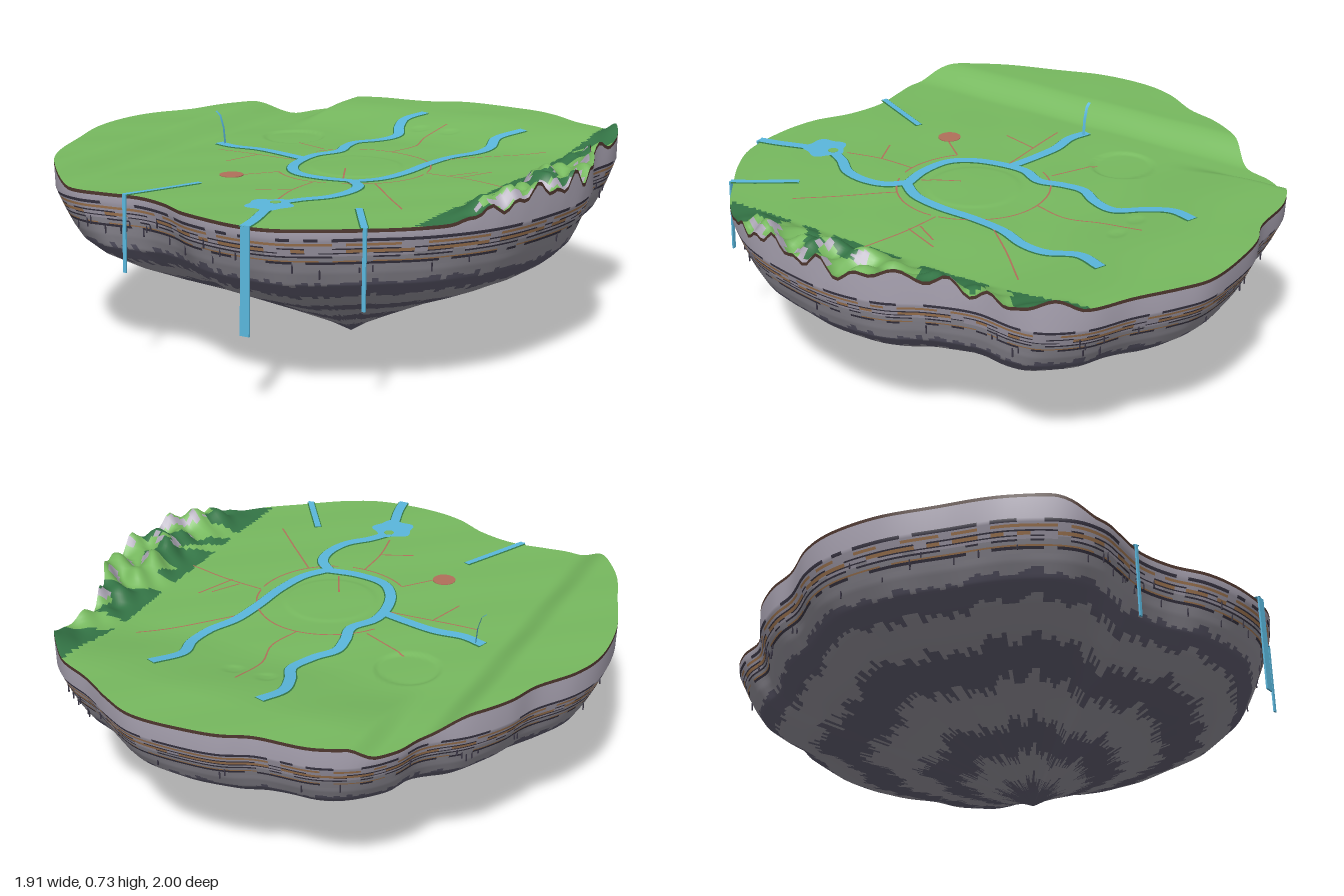
import * as THREE from 'three';

const material = (name, color, side = THREE.FrontSide) =>
  Object.assign(new THREE.MeshStandardMaterial({ color, side }), { name });
const grass = material('grass', 0x77b95f);
const forest = material('forest', 0x347546);
const rock = material('pale rock', 0xaba5b4);
const hullLight = material('underside rock', 0x98959f);
const hullDark = material('dark underside rock', 0x636073);
const strataDark = material('dark strata', 0x3b3746);
const soil = material('soil', 0x4f372f);
const strataOrange = material('ochre strata', 0xad8058);
const water = material('water', 0x5ab7dd, THREE.DoubleSide);
const road = material('road', 0xb0705a);

const SEG = 280;
const CX = 0.09, CZ = 0.09; // the point above the lowest tip
const { lerp, smoothstep } = THREE.MathUtils;

let seed = 7;
const random = () => (seed = (seed * 16807) % 2147483647) / 2147483647;

// Coastline, x and z, clockwise seen from above
const coast = [
  0.08, -1, 0.3, -0.99, 0.41, -0.94, 0.55, -0.85, 0.69, -0.78, 0.79, -0.67, 0.81, -0.58, 0.8, -0.42,
  0.85, -0.26, 0.92, -0.13, 0.95, 0.03, 0.93, 0.24, 0.86, 0.48, 0.72, 0.68, 0.56, 0.81, 0.43, 0.9,
  0.3, 0.96, 0.14, 0.97, -0.05, 0.93, -0.18, 0.86, -0.31, 0.825, -0.45, 0.835, -0.55, 0.84, -0.66, 0.8,
  -0.79, 0.64, -0.87, 0.43, -0.94, 0.21, -0.955, 0, -0.92, -0.13, -0.83, -0.28, -0.79, -0.4, -0.71, -0.53,
  -0.59, -0.65, -0.55, -0.76, -0.47, -0.86, -0.34, -0.925, -0.13, -0.945, -0.03, -0.985];
const coastPoints = [];
for (let i = 0; i < coast.length; i += 2) coastPoints.push(new THREE.Vector3(coast[i], 0, coast[i + 1]));
const rim = new THREE.CatmullRomCurve3(coastPoints, true).getSpacedPoints(SEG);

// Ground height: west plateau, northern rise, eastern crags and shallow hollows
const ridge = (x, z) => 0.6 * Math.sin(z * 22 + 2.4 * Math.sin(x * 19 + z * 6)) + 0.4 * Math.sin(z * 52 - x * 30);
const round = (x, z, r, edge) => 1 - smoothstep(Math.hypot(x, z), r - edge, r);
function height(x, z) {
  let h = 0.606 + 0.002 * Math.sin(x * 13 + z * 5) * Math.sin(z * 11);
  h += 0.057 * (1 - smoothstep(x, -0.72, -0.58));
  h += 0.042 * smoothstep(-z, 0.35, 0.8) * smoothstep(x, -0.51, -0.43);
  const crag = smoothstep(x, 0.67, 0.84) * (1 - smoothstep(z, 0.48, 0.66)) * (1 - smoothstep(-z, 0.74, 0.84));
  h += crag * (0.056 + 0.036 * ridge(x, z)) * (1 - 0.55 * smoothstep(-z, 0.3, 0.6));
  h += 0.028 * round(x - 0.77, z + 0.7, 0.1, 0.1);
  h -= 0.007 * round(x + 0.36, z + 0.26, 0.118, 0.015);
  h += 0.003 * round(x - 0.1, z - 0.08, 0.175, 0.02);
  h -= 0.004 * (round(x - 0.03, z + 0.55, 0.036, 0.015) + round(x - 0.155, z + 0.55, 0.036, 0.015));
  return h;
}

// Surface through rows and columns; each cell picks its own material
function grid(name, rows, cols, wrap, point, pick) {
  const pos = [], cells = new Map(), n = wrap ? cols : cols + 1;
  for (let i = 0; i <= rows; i++) for (let j = 0; j < n; j++) pos.push(...point(i, j));
  for (let i = 0; i < rows; i++) for (let j = 0; j < cols; j++) {
    const k = (j + 1) % n, m = pick(i, j);
    const a = i * n + j, b = a + n, c = (i + 1) * n + k, d = i * n + k;
    if (!cells.has(m)) cells.set(m, []);
    cells.get(m).push(a, c, b, a, d, c);
  }
  const geo = new THREE.BufferGeometry(), index = [], mats = [];
  for (const [m, list] of cells) {
    geo.addGroup(index.length, list.length, mats.length);
    for (const v of list) index.push(v);
    mats.push(m);
  }
  geo.setAttribute('position', new THREE.Float32BufferAttribute(pos, 3));
  geo.setIndex(index);
  geo.computeVertexNormals();
  const mesh = new THREE.Mesh(geo, mats);
  mesh.name = name;
  return mesh;
}
const inset = (j, s) => [lerp(CX, rim[j].x, s), lerp(CZ, rim[j].z, s)];

// Side profile: height and share of the coast radius
const profile = [[0.8, 1], [0.58, 1], [0.55, 0.988], [0.5, 0.967], [0.45, 0.943], [0.4, 0.912], [0.35, 0.853],
  [0.3, 0.755], [0.25, 0.62], [0.2, 0.475], [0.1, 0.22], [0.04, 0.075], [0, 0]];
function reach(y) {
  for (let i = 1; i < profile.length; i++) {
    const [y0, s0] = profile[i - 1], [y1, s1] = profile[i];
    if (y >= y1) return lerp(s0, s1, (y0 - y) / (y0 - y1));
  }
  return 0;
}

// Flat strip that follows the ground
function ribbon(name, pts, width, mat, lift) {
  const curve = new THREE.CatmullRomCurve3(pts.map(([x, z]) => new THREE.Vector3(x, 0, z)));
  const n = 14 * (pts.length - 1);
  return grid(name, n, 1, false, (i, j) => {
    const p = curve.getPoint(i / n), t = curve.getTangent(i / n), o = (j - 0.5) * width;
    const x = p.x - t.z * o, z = p.z + t.x * o;
    return [x, height(x, z) + lift, z];
  }, () => mat);
}
const arc = (r, from, to, n = 12) => Array.from({ length: n + 1 }, (_, i) => {
  const a = lerp(from, to, i / n);
  return [0.095 + r * Math.cos(a), 0.085 + r * Math.sin(a)];
});

export function createModel() {
  const island = new THREE.Group();
  island.name = 'floatingIsland';
  const add = (geo, mat, name, x, y, z) => {
    const mesh = new THREE.Mesh(geo, mat);
    mesh.name = name;
    mesh.position.set(x, y, z);
    island.add(mesh);
    return mesh;
  };

  // Grassland, with woods and bare rock on the eastern crags
  const RINGS = 110;
  island.add(grid('ground', RINGS, SEG, true, (i, j) => {
    const [x, z] = inset(j, i / RINGS);
    return [x, height(x, z), z];
  }, (i, j) => {
    const [x, z] = inset(j, (i + 0.5) / RINGS);
    if (x < 0.68 || z > 0.7) return grass;
    const e = 0.01;
    const slope = Math.hypot(height(x + e, z) - height(x - e, z), height(x, z + e) - height(x, z - e)) / (2 * e);
    if (x > 0.79 && slope > 1.05) return rock;
    const woods = Math.sin(z * 15.5 - 0.4) + 0.7 * Math.sin(z * 37 + x * 30) - (x - 0.76) * 8;
    return woods > -0.15 ? forest : grass;
  }));

  // Cliff: turf edge, pale rock, then broken strata
  const levels = [0.58, 0.574, 0.563, 0.557, 0.548, 0.54, 0.535, 0.524, 0.52, 0.512, 0.506, 0.496, 0.491, 0.482, 0.47];
  const bands = [soil, rock, strataDark, rock, strataOrange, rock, strataDark, strataOrange, strataDark, rock,
    strataDark, hullLight, strataOrange, strataDark, hullLight];
  const dash = Array.from({ length: 16 * SEG }, random);
  island.add(grid('cliff', levels.length, SEG, true, (i, j) => {
    const top = height(rim[j].x, rim[j].z);
    const y = i === 0 ? top : i === 1 ? top - 0.012 : levels[i - 1];
    const [x, z] = inset(j, reach(y));
    return [x, y, z];
  }, (i, j) => {
    const broken = i > 1 && dash[i * SEG + Math.floor(j / 2)] < 0.25;
    return broken ? (i < 9 ? rock : hullLight) : bands[i];
  }));

  // Banded underside with ragged band edges and fine folds
  const ROWS = 66;
  const rag = Array.from({ length: SEG }, (_, j) => (random() - 0.5) * 0.026 + 0.007 * Math.sin(j * 0.17));
  const level = (i) => lerp(0.47, 0, i / ROWS);
  island.add(grid('underside', ROWS, SEG, true, (i, j) => {
    const y = level(i), fold = 1 + 0.012 * Math.sin(j * Math.PI * 46 / SEG) * (i / ROWS);
    const [x, z] = inset(j, reach(y) * fold);
    return [x, y, z];
  }, (i, j) => {
    const y = level(i + 0.5) + rag[j];
    const dark = [[0.35, 0.413], [0.222, 0.283], [0.1, 0.155], [-1, 0.05]].some(([a, b]) => y > a && y < b);
    return dark ? hullDark : hullLight;
  }));

  // Roots hanging below the strata
  for (let i = 0; i < 60; i++) {
    const len = 0.015 + 0.03 * random(), y = 0.45 + 0.07 * random();
    const [x, z] = inset(Math.floor(random() * SEG), reach(y) + 0.003);
    add(new THREE.BoxGeometry(0.004, len, 0.004), strataDark, 'root', x, y, z);
  }

  // Rivers with narrow dark banks
  const rivers = [
    [0.038, [[-0.04, -0.73], [-0.075, -0.63], [-0.05, -0.53], [-0.01, -0.44], [-0.04, -0.34], [-0.09, -0.26],
      [-0.085, -0.18], [-0.065, -0.09], [-0.11, 0], [-0.115, 0.08], [-0.085, 0.2], [-0.02, 0.28], [0.095, 0.305], [0.22, 0.29]]],
    [0.038, [[0.42, -0.65], [0.365, -0.53], [0.39, -0.42], [0.38, -0.32], [0.335, -0.21], [0.315, -0.08],
      [0.305, 0.08], [0.275, 0.21], [0.22, 0.29]]],
    [0.038, [[-0.53, 0], [-0.45, 0.025], [-0.34, 0.02], [-0.23, 0.04], [-0.115, 0.07]]],
    [0.038, [[0.2, 0.285], [0.265, 0.35], [0.28, 0.43], [0.255, 0.53], [0.19, 0.61], [0.15, 0.68]]],
    [0.036, [[0.165, 0.78], [0.2, 0.9], [0.216, 0.985]]],
    [0.022, [[-0.23, 0.57], [-0.355, 0.835]]],
    [0.022, [[0.42, 0.62], [0.555, 0.825]]],
  ];
  for (const [width, pts] of rivers) {
    island.add(ribbon('riverBank', pts, width + 0.008, forest, 0.002));
    island.add(ribbon('river', pts, width, water, 0.005));
  }

  // Lobed pond around an islet
  const pond = new THREE.Shape(Array.from({ length: 48 }, (_, i) => {
    const a = i / 48 * Math.PI * 2, r = 0.076 + 0.008 * Math.sin(a * 5 + 0.6);
    return new THREE.Vector2(r * Math.cos(a), r * Math.sin(a));
  }));
  pond.holes.push(new THREE.Path().absarc(0, 0.038, 0.019, 0, Math.PI * 2, true));
  add(new THREE.ShapeGeometry(pond, 20), water, 'pond', 0.145, 0.613, 0.725).rotation.x = -Math.PI / 2;
  add(new THREE.CylinderGeometry(0.019, 0.019, 0.004, 24), grass, 'islet', 0.145, 0.612, 0.687);

  // Waterfalls off the coast
  for (const [x, z, width, drop] of [[0.216, 0.987, 0.034, 0.36], [-0.356, 0.838, 0.013, 0.27], [0.556, 0.828, 0.013, 0.27]])
    add(new THREE.BoxGeometry(width, drop, 0.006), water, 'waterfall', x, 0.61 - drop / 2, z).rotation.x = -0.03;

  // Thin spout feeding the west river
  const spout = [[-0.54, 0.73], [-0.522, 0.715], [-0.508, 0.67], [-0.502, 0.61]];
  island.add(grid('spout', 3, 1, false, (i, j) => [spout[i][0], spout[i][1], (j - 0.5) * 0.012], () => water));

  // Roads
  const roads = [
    arc(0.275, -2.6, -0.15), arc(0.275, -0.05, 1.2), arc(0.275, 1.4, 2.3),
    [[0.1, -0.19], [0.13, -0.32], [0.1, -0.45], [0.11, -0.62]], [[0.33, -0.16], [0.47, -0.32], [0.6, -0.45]],
    [[0.37, 0.05], [0.54, 0.07], [0.69, 0.11]], [[0.5, 0.07], [0.56, -0.08]], [[0.46, 0.05], [0.52, -0.05]],
    [[0.29, 0.28], [0.54, 0.55]], [[0.095, 0.36], [0.095, 0.5], [0.12, 0.64]], [[-0.02, 0.55], [0.095, 0.5]],
    [[-0.09, 0.29], [-0.18, 0.4]], [[-0.13, 0.09], [-0.47, 0.095]], [[-0.3, 0.095], [-0.34, 0.24]],
    [[-0.13, -0.1], [-0.31, -0.18]], [[0.095, 0.14], [0.16, 0.27]],
  ];
  for (const pts of roads) island.add(ribbon('road', pts, 0.006, road, 0.002));

  // Paved round
  add(new THREE.CylinderGeometry(0.042, 0.042, 0.004, 32), road, 'pavedRound', -0.207, height(-0.207, 0.41), 0.41);

  return island;
}
